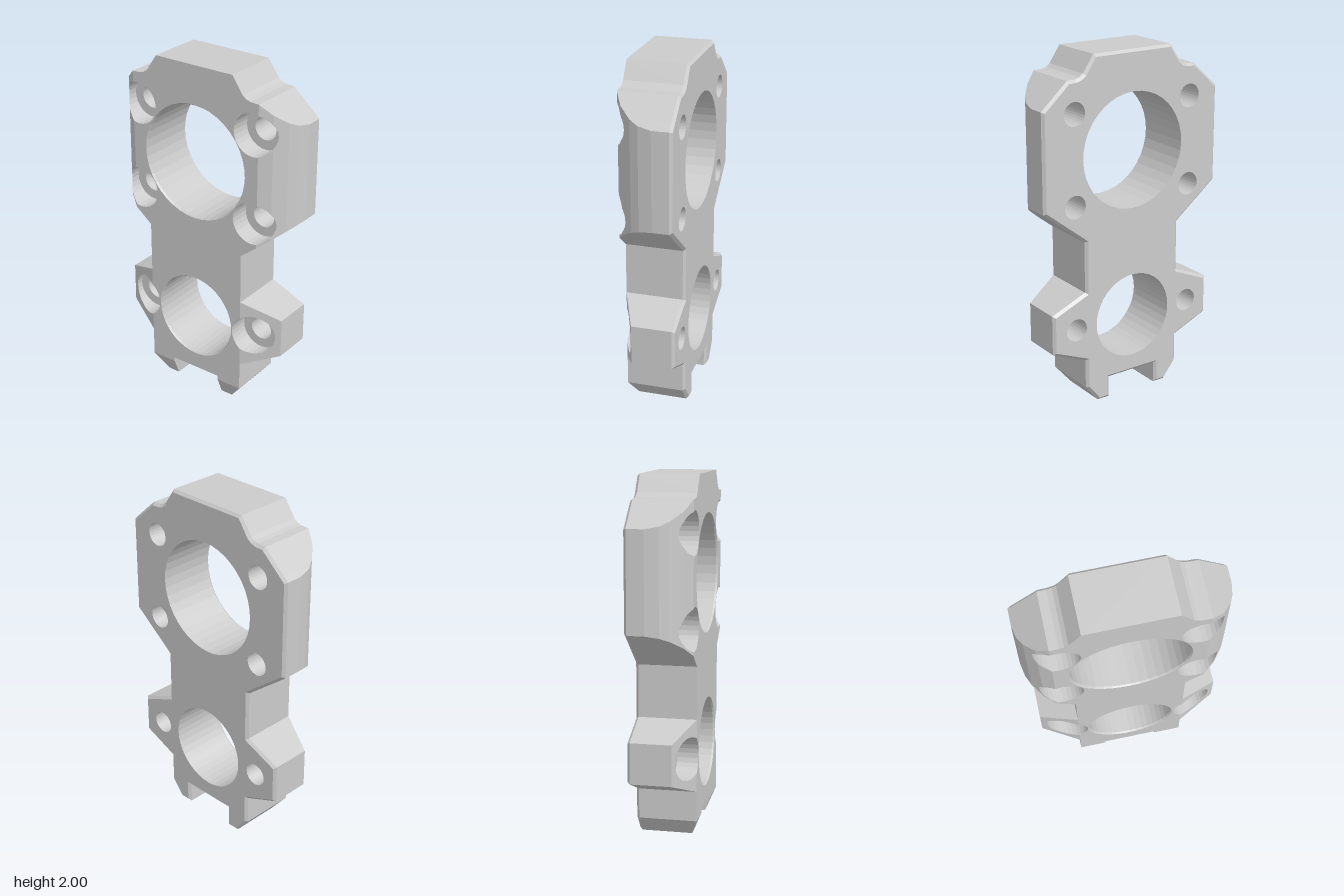
import * as THREE from 'three';

const FRONT = 0.17, BACK = -0.17, BEVEL = 0.015, SEAT = 0.05;

// Depth of the front face: rounded upper shoulders, sloped lower ears, sloped feet
const SHOULDER = [[0.415, FRONT], [0.48, 0.13], [0.535, 0.065], [0.56, 0.015], [0.575, -0.06]];
const EAR = [[0.315, FRONT], [0.53, 0.075]];
const CREASES = [['y', 0.1]];
for (const x of [0.315, 0.415, 0.48, 0.535, 0.56]) CREASES.push(['x', x], ['x', -x]);

function frontZ(p) {
  if (p.y < 0.1) return FRONT - 0.04 * (0.1 - p.y) / 0.1;
  const profile = p.y > 0.83 ? SHOULDER : EAR, x = Math.abs(p.x);
  if (x <= profile[0][0]) return FRONT;
  let i = 1;
  while (i < profile.length - 1 && x > profile[i][0]) i++;
  const [x0, z0] = profile[i - 1], [x1, z1] = profile[i];
  return z0 + (z1 - z0) * (x - x0) / (x1 - x0);
}

const V = (x, y) => new THREE.Vector2(x, y);

// Clockwise circle, so that its wall faces into the hole
function circle(x, y, r, n) {
  return Array.from({ length: n }, (_, i) => {
    const a = -i / n * Math.PI * 2;
    return V(x + r * Math.cos(a), y + r * Math.sin(a));
  });
}

// Adds a point wherever a closed contour crosses a crease line
function subdivide(points) {
  for (const [axis, c] of CREASES) {
    points = points.flatMap((p, i) => {
      const q = points[(i + 1) % points.length], a = p[axis] - c, b = q[axis] - c;
      const crosses = Math.abs(a) > 1e-6 && Math.abs(b) > 1e-6 && a * b < 0;
      return crosses ? [p, p.clone().lerp(q, a / (a - b))] : [p];
    });
  }
  return points;
}

// Cuts triangles along a crease line
function splitTriangles(tris, axis, c) {
  const out = [];
  for (const t of tris) {
    for (const side of [1, -1]) {
      const poly = [];
      t.forEach((p, i) => {
        const q = t[(i + 1) % 3];
        let a = side * (p[axis] - c), b = side * (q[axis] - c);
        if (Math.abs(a) < 1e-6) a = 0;
        if (Math.abs(b) < 1e-6) b = 0;
        if (a >= 0) poly.push(p);
        if (a * b < 0) poly.push(p.clone().lerp(q, a / (a - b)));
      });
      if (!poly.some(p => side * (p[axis] - c) > 1e-6)) continue;
      for (let i = 1; i < poly.length - 1; i++) out.push([poly[0], poly[i], poly[i + 1]]);
    }
  }
  return out;
}

// Moves a counter-clockwise contour inward with mitred corners
function inset(points, d) {
  const n = points.length;
  return points.map((p, i) => {
    const a = p.clone().sub(points[(i + n - 1) % n]).normalize();
    const b = points[(i + 1) % n].clone().sub(p).normalize();
    const na = V(-a.y, a.x), nb = V(-b.y, b.x);
    return p.clone().addScaledVector(na.clone().add(nb), d / (1 + na.dot(nb)));
  });
}

const depth = (z, p) => (typeof z === 'function' ? z(p) : z);

// Band joining two matching contours
function wall(pos, low, zLow, high, zHigh) {
  low.forEach((p, i) => {
    const j = (i + 1) % low.length;
    const a = [p.x, p.y, depth(zLow, p)], b = [low[j].x, low[j].y, depth(zLow, low[j])];
    const c = [high[j].x, high[j].y, depth(zHigh, high[j])], d = [high[i].x, high[i].y, depth(zHigh, high[i])];
    pos.push(...a, ...b, ...c, ...a, ...c, ...d);
  });
}

// Face filling a contour with holes
function cap(pos, contour, holes, z, facing) {
  const all = [contour, ...holes].flat();
  let tris = THREE.ShapeUtils.triangulateShape(contour.slice(), holes.map(h => h.slice()))
    .map(f => f.map(i => all[i]));
  if (typeof z === 'function') for (const [axis, c] of CREASES) tris = splitTriangles(tris, axis, c);
  for (const t of tris) {
    if (THREE.ShapeUtils.area(t) * facing < 0) t.reverse();
    for (const p of t) pos.push(p.x, p.y, depth(z, p));
  }
}

export function createModel() {
  const group = new THREE.Group();
  const material = new THREE.MeshStandardMaterial({ color: 0xcccccc, flatShading: true });
  const addMesh = (name, pos) => {
    const geo = new THREE.BufferGeometry();
    geo.setAttribute('position', new THREE.Float32BufferAttribute(pos, 3));
    geo.computeVertexNormals();
    const mesh = new THREE.Mesh(geo, material);
    mesh.name = name;
    group.add(mesh);
  };

  // Outline: one half from the foot notch to the top, then mirrored
  const half = [
    [0.16, 0.125], [0.16, 0], [0.235, 0], [0.315, 0.1], [0.315, 0.27], [0.53, 0.36],
    [0.53, 0.59], [0.315, 0.68], [0.315, 0.975], [0.575, 1.18], [0.575, 1.735],
    [0.415, 1.878], [0.365, 1.88], [0.338, 1.888], [0.315, 1.905], [0.25, 2],
  ].map(([x, y]) => V(x, y));
  const outline = subdivide([...half, ...half.slice().reverse().map(p => V(-p.x, p.y))]);
  const backOutline = inset(outline, BEVEL);

  const frontHoles = [], backHoles = [];

  // Two large bores with a fine front chamfer
  for (const [name, y, r] of [['upperBore', 1.445, 0.335], ['lowerBore', 0.475, 0.255]]) {
    const rim = circle(0, y, r, 40), bore = circle(0, y, r - 0.007, 40), pos = [];
    wall(pos, bore, BACK, bore, FRONT - 0.01);
    wall(pos, bore, FRONT - 0.01, rim, FRONT);
    addMesh(name, pos);
    frontHoles.push(subdivide(rim));
    backHoles.push(bore);
  }

  // Six counterbored screw holes
  for (const y of [0.475, 1.19, 1.7]) {
    for (const x of [-0.38, 0.38]) {
      const ring = circle(x, y, 0.12, 28), rim = subdivide(ring), hole = circle(x, y, 0.066, 28), pos = [];
      wall(pos, rim, SEAT, rim, frontZ);
      wall(pos, hole, SEAT, ring, SEAT);
      wall(pos, hole, BACK, hole, SEAT);
      addMesh('screwHole', pos);
      frontHoles.push(rim);
      backHoles.push(hole);
    }
  }

  // Plate: front, sides, back bevel and back
  const pos = [];
  cap(pos, outline, frontHoles, frontZ, 1);
  wall(pos, outline, BACK + BEVEL, outline, frontZ);
  wall(pos, backOutline, BACK, outline, BACK + BEVEL);
  cap(pos, backOutline, backHoles, BACK, -1);
  addMesh('plate', pos);
  return group;
}
